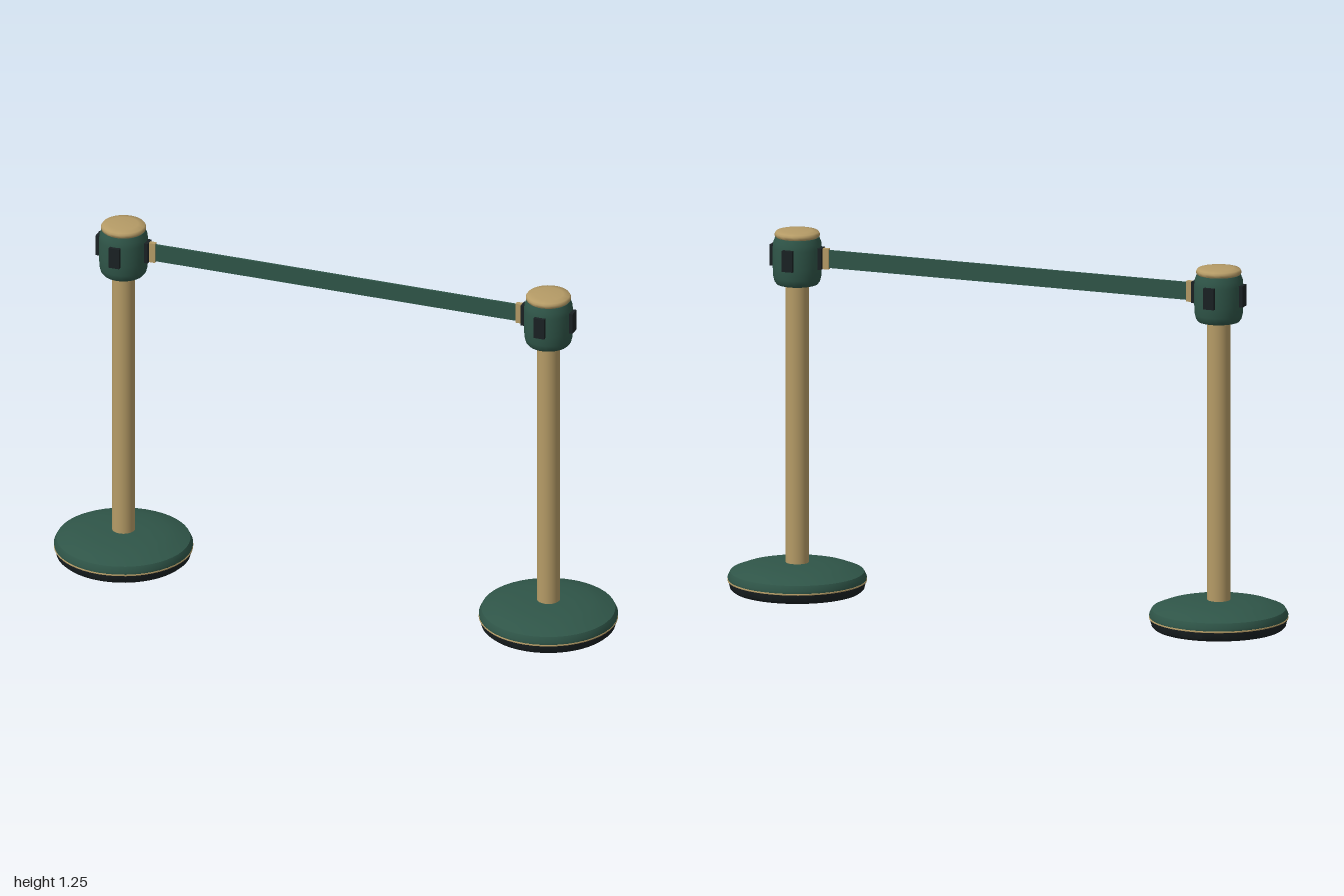
import * as THREE from 'three';
import { toCreasedNormals } from 'three/addons/utils/BufferGeometryUtils.js';

const POST_X = 0.765;
const SLOT_Y = 1.154;

const mat = (name, color) => Object.assign(new THREE.MeshStandardMaterial({ color }), { name });

export function createModel() {
  const green = mat('dark green', 0x2f5548);
  const brass = mat('brushed brass', 0xb59b66);
  const black = mat('black rubber', 0x1a2123);

  const add = (parent, name, geometry, material, x = 0, y = 0, z = 0) => {
    const mesh = new THREE.Mesh(geometry, material);
    mesh.name = name;
    mesh.position.set(x, y, z);
    parent.add(mesh);
    return mesh;
  };

  // Turned part from [radius, height] pairs, listed bottom to top
  const turned = (points, crease = 0.6) => toCreasedNormals(
    new THREE.LatheGeometry(points.map(([r, y]) => new THREE.Vector2(r, y)), 48), crease);

  const makePost = () => {
    const post = new THREE.Group();

    // Weighted foot: rubber underside, brass pinstripe, domed cover
    add(post, 'baseRubber', turned([[0, 0], [0.218, 0], [0.227, 0.008], [0.233, 0.032]]), black);
    add(post, 'basePinstripe', turned([[0.233, 0.032], [0.2355, 0.033], [0.2355, 0.037], [0.234, 0.038]]), brass);
    add(post, 'baseCover', turned([[0.234, 0.037], [0.235, 0.046], [0.226, 0.064], [0.19, 0.078],
      [0.15, 0.088], [0.09, 0.094], [0.038, 0.096], [0, 0.096]]), green);

    // Upright tube
    add(post, 'pole', new THREE.CylinderGeometry(0.039, 0.039, 0.98, 40, 1, true), brass, 0, 0.58, 0);

    // Belt cassette and cap
    add(post, 'head', turned([[0, 1.06], [0.07, 1.06], [0.077, 1.069], [0.081, 1.085], [0.083, 1.12],
      [0.083, 1.185], [0.081, 1.204], [0.074, 1.222], [0, 1.222]]), green);
    add(post, 'cap', turned([[0.072, 1.222], [0.076, 1.226], [0.076, 1.234], [0.072, 1.24],
      [0.05, 1.2435], [0, 1.245]], 0.9), brass);

    // Belt slots on all four sides
    for (let i = 0; i < 4; i++) {
      const side = new THREE.Group();
      side.name = 'beltSlot';
      side.rotation.y = i * Math.PI / 2;
      add(side, 'slotPlate', new THREE.BoxGeometry(0.038, 0.073, 0.02), black, 0, SLOT_Y, 0.084);
      post.add(side);
    }
    return post;
  };

  const model = new THREE.Group();
  model.name = 'queueBarrier';
  for (const s of [-1, 1]) {
    const post = makePost();
    post.name = s > 0 ? 'leftPost' : 'rightPost';
    post.position.x = s * POST_X;
    model.add(post);
    // Brass end clip of the belt
    add(model, 'beltClip', new THREE.BoxGeometry(0.026, 0.071, 0.016), brass, s * 0.662, SLOT_Y, 0);
  }

  // Stretched belt
  add(model, 'belt', new THREE.BoxGeometry(1.31, 0.061, 0.008), green, 0, SLOT_Y, 0);
  return model;
}
